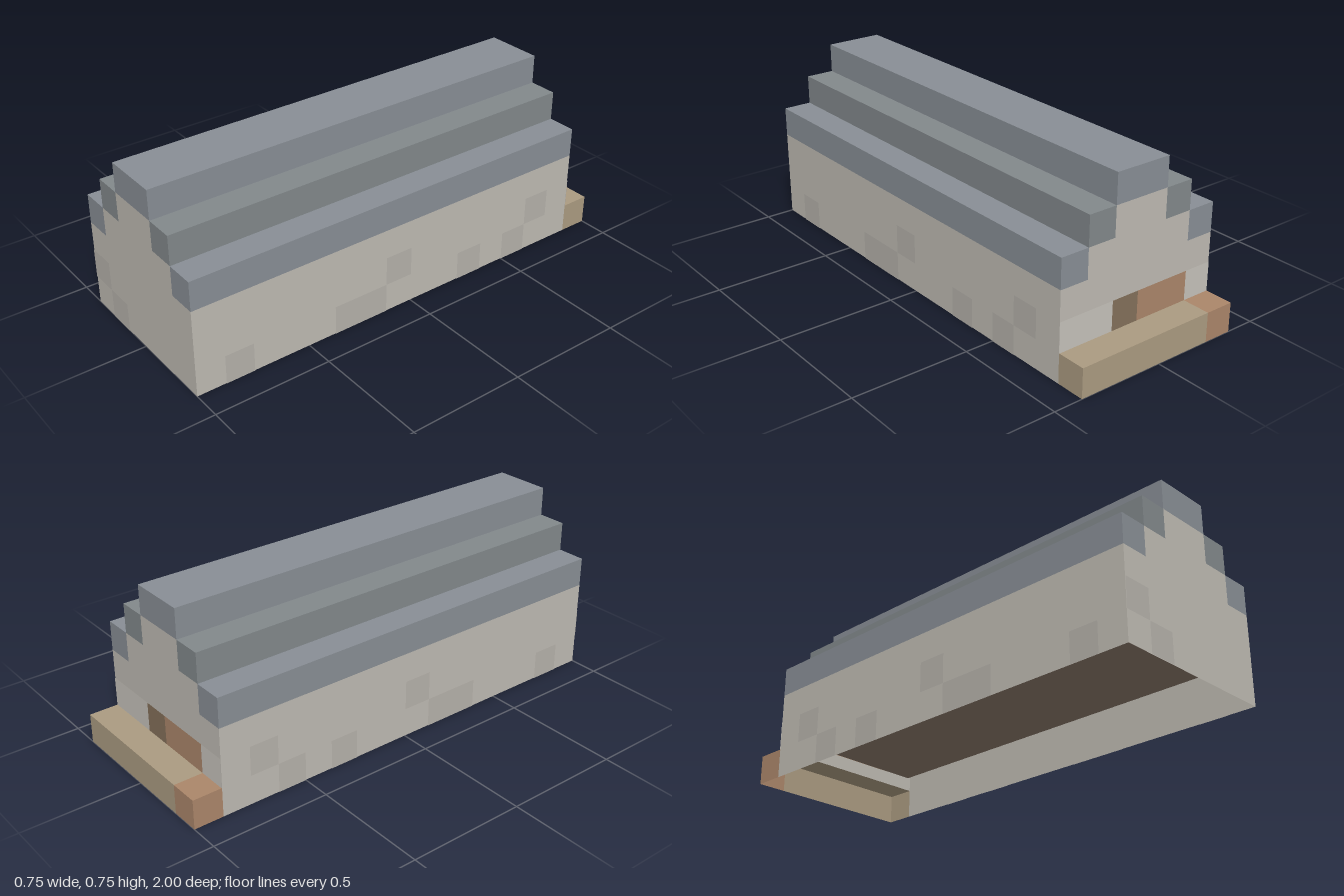
import * as THREE from 'three';

const U = 0.125; // one block; x and y below are counted in blocks
const FRONT = 1, BACK = -0.875;

const paint = (color) =>
  new THREE.MeshStandardMaterial({ color, side: THREE.DoubleSide, flatShading: true });

const stone = paint(0xbebab2);
const wornStone = paint(0xb5b1aa);
const paleStone = paint(0xc6c2bb);
const slate = paint(0x888e95);
const darkSlate = paint(0x82888b);
const wood = paint(0xab9b81);
const redWood = paint(0xab866a);
const darkWood = paint(0x84705a);
const floorWood = paint(0x8a7868);

export function createModel() {
  const model = new THREE.Group();

  // flat panel from four corners, counter-clockwise from outside
  const quad = (name, material, a, b, c, d) => {
    const points = [a, b, c, a, c, d].map((p) => new THREE.Vector3(...p));
    const geometry = new THREE.BufferGeometry().setFromPoints(points);
    geometry.computeVertexNormals();
    const mesh = new THREE.Mesh(geometry, material);
    mesh.name = name;
    model.add(mesh);
  };

  // upright panel facing front (dir 1) or back (dir -1)
  const endPanel = (name, material, x0, x1, y0, y1, z, dir) => {
    const [l, r] = dir > 0 ? [x0 * U, x1 * U] : [x1 * U, x0 * U];
    quad(name, material, [l, y0 * U, z], [r, y0 * U, z], [r, y1 * U, z], [l, y1 * U, z]);
  };

  // panel running lengthwise between two points of the cross-section
  const strip = (name, material, [x0, y0], [x1, y1], z0, z1) =>
    quad(name, material, [x0 * U, y0 * U, z1], [x0 * U, y0 * U, z0],
      [x1 * U, y1 * U, z0], [x1 * U, y1 * U, z1]);

  // lengthwise skin on both sides from a list of points and named materials
  const skin = (points, parts, z0, z1) => {
    parts.forEach(([name, material], i) => {
      const [x0, y0] = points[i], [x1, y1] = points[i + 1];
      strip(name, material, [x0, y0], [x1, y1], z0, z1);
      strip(name, material, [-x1, y1], [-x0, y0], z0, z1);
    });
  };

  // outer walls and stepped roof, open at the bottom
  skin([[3, 0], [3, 3], [3, 4], [2, 4], [2, 5], [1, 5], [1, 6], [0, 6]], [
    ['sideWall', stone], ['roofEaves', slate], ['roofEaves', slate],
    ['roofMiddleStep', darkSlate], ['roofMiddleStep', darkSlate],
    ['roofRidge', slate], ['roofRidge', slate],
  ], BACK, FRONT);

  // gable ends
  for (const [z, dir, base] of [[FRONT, 1, 0], [BACK, -1, 1]]) {
    endPanel('endWall', stone, -3, 3, base, 3, z, dir);
    endPanel('gable', stone, -2, 2, 3, 4, z, dir);
    endPanel('gable', stone, -1, 1, 4, 5, z, dir);
    endPanel('ridgeEnd', slate, -1, 1, 5, 6, z, dir);
    for (const s of [-1, 1]) {
      endPanel('eavesEnd', slate, s * 2.5 - 0.5, s * 2.5 + 0.5, 3, 4, z, dir);
      endPanel('middleStepEnd', darkSlate, s * 1.5 - 0.5, s * 1.5 + 0.5, 4, 5, z, dir);
    }
  }

  // hollow room one block inside the walls
  const roomFront = FRONT - U, roomBack = BACK + U;
  skin([[2, 1], [2, 4], [1, 4], [1, 5], [0, 5]], [
    ['innerWall', stone], ['innerCeiling', slate], ['innerCeiling', darkSlate], ['innerCeiling', slate],
  ], roomBack, roomFront);
  for (const [z, dir] of [[roomFront, -1], [roomBack, 1]]) {
    endPanel('innerEndWall', stone, -2, 2, 1, 4, z, dir);
    endPanel('innerGable', stone, -1, 1, 4, 5, z, dir);
  }
  strip('floor', floorWood, [2, 1], [-2, 1], roomBack, roomFront);

  // wooden step along the back, open at the bottom
  for (const [x0, x1, material] of [[-2, 3, wood], [-3, -2, redWood]]) {
    strip('backStepTop', material, [x1, 1], [x0, 1], -1, BACK);
    endPanel('backStepFace', material, x0, x1, 0, 1, -1, -1);
  }
  strip('backStepEnd', wood, [3, 0], [3, 1], -1, BACK);
  strip('backStepEnd', redWood, [-3, 1], [-3, 0], -1, BACK);

  // coloured row of blocks above the step, outside and inside
  const gap = 0.002;
  for (const [a, b, material] of [[1, 3, paleStone], [0, 1, darkWood], [-2, 0, redWood], [-3, -2, paleStone]]) {
    endPanel('backBlock', material, a, b, 1, 2, BACK - gap, -1);
  }
  for (const [a, b, material] of [[0, 1, darkWood], [-2, 0, redWood]]) {
    endPanel('innerBackBlock', material, a, b, 1, 2, roomBack - gap, -1);
  }

  // worn blocks on the front and sides
  for (const [x, y] of [[-3, 1], [-2, 0]]) {
    endPanel('wornFrontBlock', wornStone, x, x + 1, y, y + 1, FRONT + gap, 1);
  }
  const edge = 3 + gap / U;
  for (const [z, y] of [[6, 0], [2, 0], [1, 0], [0, 1], [-3, 0], [-5, 0], [-6, 1]]) {
    strip('wornSideBlock', wornStone, [edge, y], [edge, y + 1], z * U, (z + 1) * U);
    strip('wornSideBlock', wornStone, [-edge, y + 1], [-edge, y], z * U, (z + 1) * U);
  }
  return model;
}
